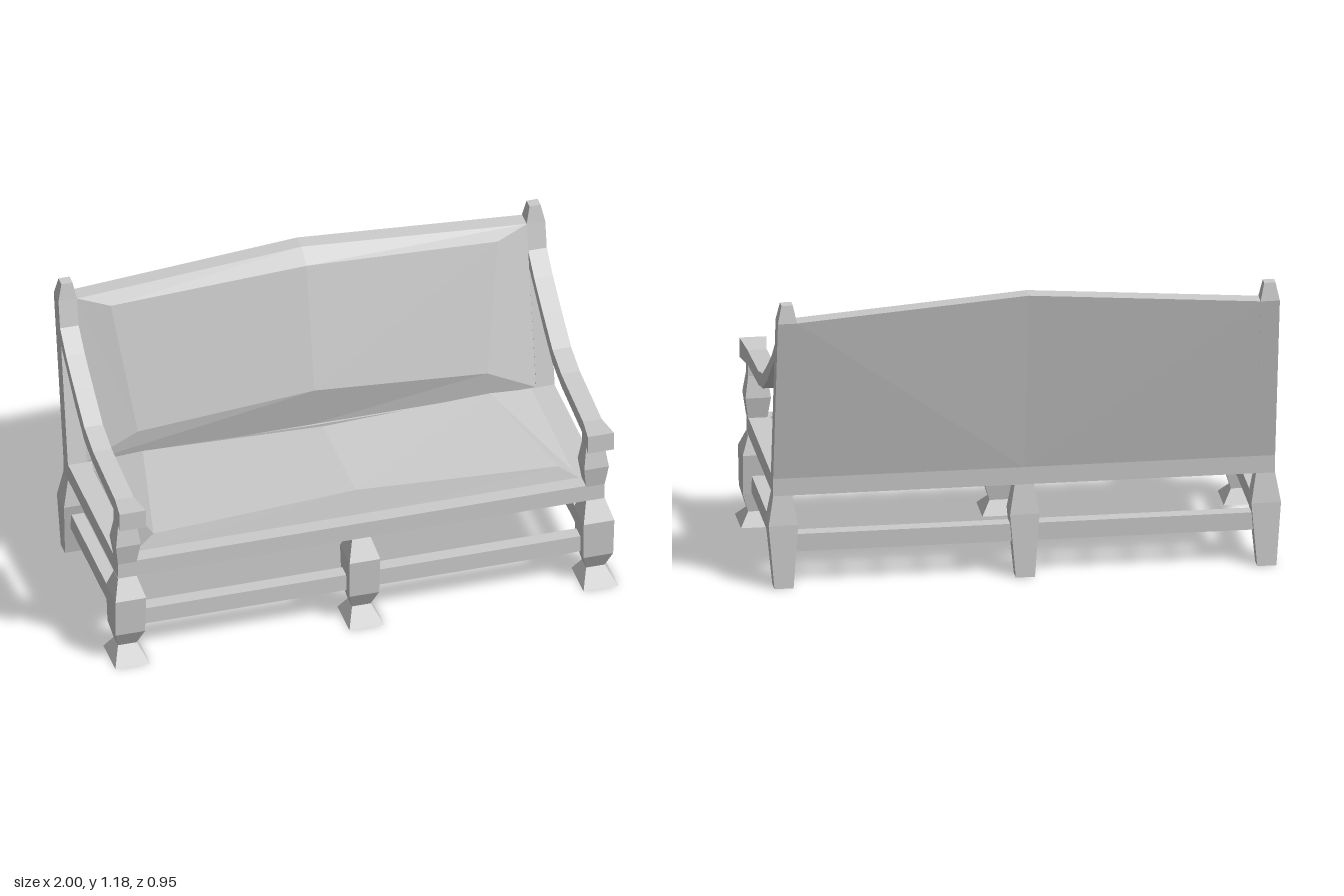
import * as THREE from 'three';

const material = new THREE.MeshStandardMaterial({ color: 0xcccccc, flatShading: true });

// Skin a list of equal-length point rings, closing both ends.
// Rings run counter-clockwise around the direction of travel.
function loft(rings) {
  const pos = [];
  const tri = (a, b, c) => pos.push(...a, ...b, ...c);
  const n = rings[0].length;
  for (let i = 0; i + 1 < rings.length; i++) {
    for (let j = 0; j < n; j++) {
      const k = (j + 1) % n;
      const [a, b, c, d] = [rings[i][j], rings[i][k], rings[i + 1][k], rings[i + 1][j]];
      tri(a, b, c);
      tri(a, c, d);
    }
  }
  const first = rings[0], last = rings[rings.length - 1];
  for (let j = 2; j < n; j++) {
    const p = j, q = (j + 1) % n;
    tri(last[1], last[p], last[q]);
    tri(first[1], first[q], first[p]);
  }
  const g = new THREE.BufferGeometry();
  g.setAttribute('position', new THREE.Float32BufferAttribute(pos, 3));
  g.computeVertexNormals();
  return g;
}

// Upright of rectangular sections [y, zBack, zFront, halfWidth]
const upright = (sections) => loft(sections.map(([y, z0, z1, h]) =>
  [[h, y, z1], [h, y, z0], [-h, y, z0], [-h, y, z1]]));

// Six-point ring, mirrored in x: side and middle points of a lower and an upper edge
const hexRing = (loSide, loMid, hiSide, hiMid) => {
  const L = ([x, y, z]) => [-x, y, z];
  return [L(loSide), loMid, loSide, hiSide, hiMid, L(hiSide)];
};

export function createModel() {
  const model = new THREE.Group();
  const add = (name, geometry, x = 0, y = 0, z = 0) => {
    const mesh = new THREE.Mesh(geometry, material);
    mesh.name = name;
    mesh.position.set(x, y, z);
    model.add(mesh);
  };
  const box = (name, w, h, d, x, y, z) => add(name, new THREE.BoxGeometry(w, h, d), x, y, z);
  const X = 0.931;

  // Front legs with flared feet, and rear legs
  const frontLeg = upright([
    [0, 0.31, 0.475, 0.069], [0.055, 0.342, 0.4, 0.037], [0.13, 0.332, 0.44, 0.059],
    [0.29, 0.318, 0.45, 0.061], [0.365, 0.342, 0.4, 0.037]]);
  const rearLeg = upright([
    [0, -0.383, -0.325, 0.037], [0.25, -0.367, -0.27, 0.057], [0.365, -0.348, -0.285, 0.037]]);
  for (const [x, side] of [[X, 'Left'], [0, 'Middle'], [-X, 'Right']]) {
    add('frontLeg' + side, frontLeg, x);
    add('rearLeg' + side, rearLeg, x);
  }

  // Arm posts, back posts and sloping arms
  const armPost = upright([
    [0.43, 0.342, 0.4, 0.037], [0.52, 0.326, 0.416, 0.049],
    [0.605, 0.342, 0.4, 0.037], [0.66, 0.342, 0.4, 0.037]]);
  const backPost = upright([
    [0.365, -0.348, -0.285, 0.037], [0.435, -0.348, -0.285, 0.037],
    [1.11, -0.479, -0.414, 0.037], [1.18, -0.467, -0.426, 0.022]]);
  // Arm sections: [zTop, yTop, zBottom, yBottom, halfWidth]
  const arm = loft([
    [0.475, 0.715, 0.475, 0.638, 0.052], [0.36, 0.705, 0.35, 0.648, 0.037],
    [0.06, 0.727, 0.06, 0.672, 0.037], [-0.06, 0.76, -0.06, 0.7, 0.037],
    [-0.19, 0.843, -0.18, 0.775, 0.037], [-0.31, 0.925, -0.3, 0.868, 0.037],
    [-0.4, 1.006, -0.39, 0.935, 0.037],
  ].map(([zt, yt, zb, yb, h]) => [[h, yt, zt], [h, yb, zb], [-h, yb, zb], [-h, yt, zt]]));
  for (const [s, side] of [[1, 'Left'], [-1, 'Right']]) {
    add('armPost' + side, armPost, s * X);
    add('backPost' + side, backPost, s * X);
    add('arm' + side, arm, s * X);
    box('sideStretcher' + side, 0.05, 0.07, 0.66, s * X, 0.17, 0.04);
  }

  // Seat frame and long stretchers
  box('seatFrame', 1.934, 0.07, 0.748, 0, 0.4, 0.026);
  box('frontStretcher', 1.84, 0.07, 0.055, 0, 0.17, 0.372);
  box('rearStretcher', 1.84, 0.07, 0.055, 0, 0.17, -0.316);

  // Seat cushion, crowned towards the middle
  add('seatCushion', loft([
    hexRing([0.89, 0.43, 0.34], [0, 0.43, 0.34], [0.89, 0.43, -0.287], [0, 0.43, -0.287]),
    hexRing([0.805, 0.493, 0.325], [0, 0.535, 0.318], [0.69, 0.493, -0.217], [0, 0.535, -0.125]),
  ]));

  // Reclined back with a peaked top and a padded front
  add('backrest', loft([
    hexRing([0.895, 0.435, -0.348], [0, 0.435, -0.348], [0.895, 1.11, -0.478], [0, 1.178, -0.478]),
    hexRing([0.895, 0.435, -0.287], [0, 0.435, -0.287], [0.895, 1.11, -0.414], [0, 1.178, -0.414]),
    hexRing([0.695, 0.55, -0.268], [0, 0.623, -0.242], [0.77, 1.075, -0.38], [0, 1.13, -0.352]),
  ]));

  return model;
}
